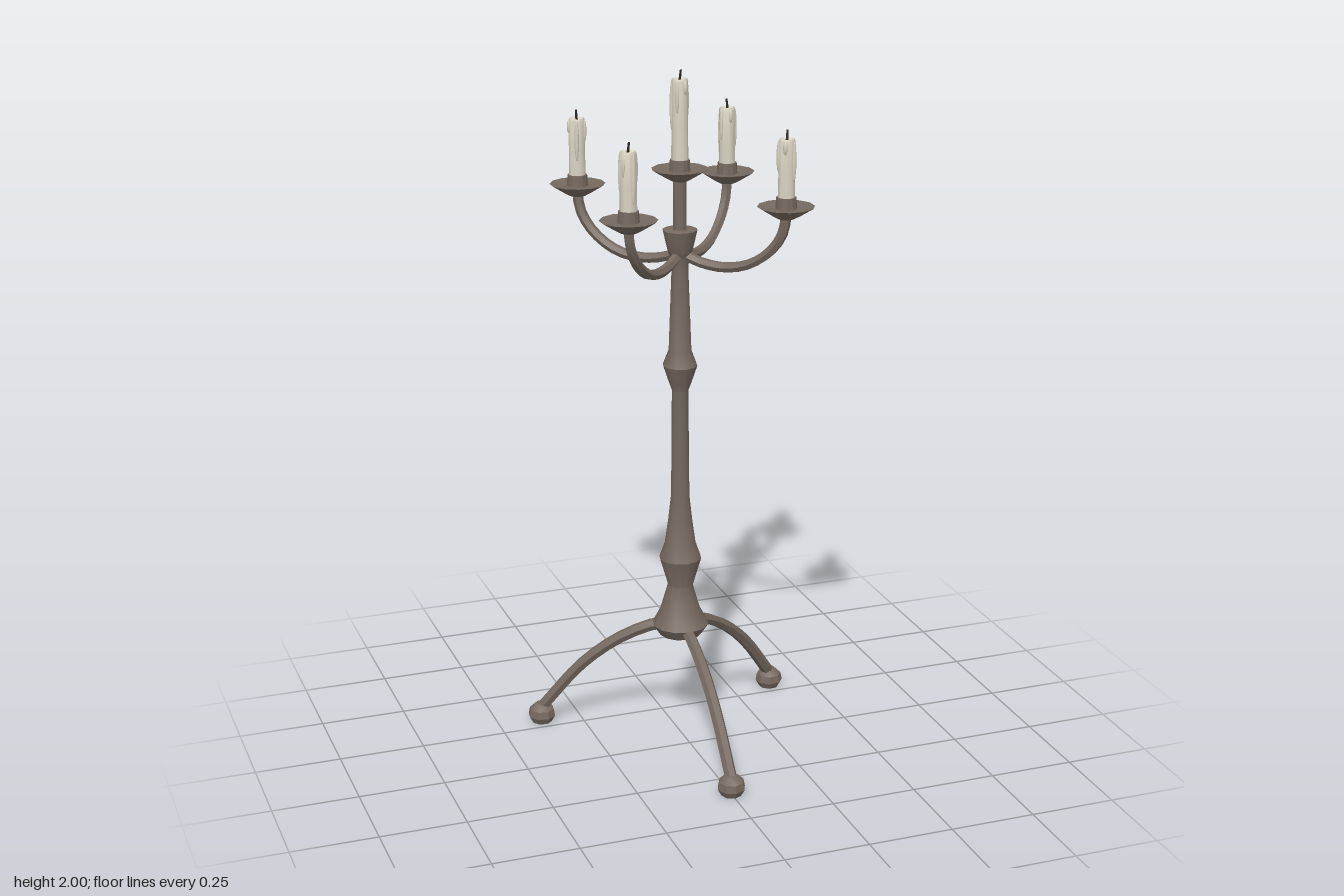
import * as THREE from 'three';
import { toCreasedNormals } from 'three/addons/utils/BufferGeometryUtils.js';

const material = (name, color) => {
  const m = new THREE.MeshStandardMaterial({ color });
  m.name = name;
  return m;
};

export function createModel() {
  const iron = material('iron', 0x75695f);
  const wax = material('wax', 0xd9d4c2);
  const char = material('charred wick', 0x2b2622);

  const model = new THREE.Group();
  model.name = 'candelabrum';
  const body = new THREE.Group();
  body.name = 'body';
  body.position.z = -0.081;
  model.add(body);

  const add = (parent, name, geometry, mat) => {
    const mesh = new THREE.Mesh(geometry, mat);
    mesh.name = name;
    parent.add(mesh);
    return mesh;
  };
  // Turned part from [radius, height] pairs, bottom to top
  const turned = (points, sides, crease = 0.6) => toCreasedNormals(
    new THREE.LatheGeometry(points.map(([r, y]) => new THREE.Vector2(r, y)), sides), crease);
  // Bent bar from [distance, height] pairs along +z
  const bar = (points, radius, sides, steps) => {
    const curve = new THREE.CatmullRomCurve3(points.map(([d, y]) => new THREE.Vector3(0, y, d)));
    return toCreasedNormals(new THREE.TubeGeometry(curve, steps, radius, sides), 0.5);
  };

  // Central column with its flared top
  add(body, 'column', turned([
    [0, 0.325], [0.062, 0.325], [0.083, 0.357], [0.06, 0.4], [0.037, 0.48],
    [0.062, 0.565], [0.046, 0.61], [0.036, 0.68], [0.027, 0.76], [0.024, 1.08],
    [0.035, 1.11], [0.05, 1.155], [0.033, 1.2], [0.024, 1.44], [0.027, 1.475],
    [0.034, 1.485], [0.05, 1.552], [0.038, 1.556], [0, 1.55],
  ], 12), iron);
  add(body, 'upperStem', turned([[0.02, 1.54], [0.02, 1.7]], 8, 0.9), iron);

  // Three bowed legs on faceted feet
  const legShape = bar([[0.04, 0.355], [0.09, 0.342], [0.19, 0.29], [0.3, 0.2], [0.43, 0.042]], 0.018, 6, 10);
  const footShape = turned([
    [0, 0.002], [0.03, 0], [0.041, 0.02], [0.037, 0.042], [0.02, 0.058], [0, 0.062],
  ], 8);
  for (let i = 0; i < 3; i++) {
    const leg = new THREE.Group();
    leg.name = 'leg' + (i + 1);
    leg.rotation.y = i * Math.PI * 2 / 3;
    add(leg, 'legBar', legShape, iron);
    add(leg, 'foot', footShape, iron).position.z = 0.427;
    body.add(leg);
  }

  // Drip dish with a candle; origin at the dish rim
  const dishShape = turned([
    [0, -0.034], [0.024, -0.034], [0.045, -0.022], [0.08, 0], [0.03, -0.006],
    [0.028, 0.026], [0.022, 0.026], [0.022, 0.01],
  ], 12, 0.45);
  const dripShape = new THREE.SphereGeometry(1, 6, 5);
  const candle = (name, height, seed) => {
    const group = new THREE.Group();
    group.name = name;
    add(group, 'dish', dishShape, iron);
    add(group, 'candle', turned([
      [0.024, 0.005], [0.023, height * 0.5], [0.0235, height - 0.006],
      [0.021, height], [0.017, height - 0.004], [0, height - 0.01],
    ], 10, 0.7), wax);
    // Uneven runs of melted wax
    for (let i = 0; i < 5; i++) {
      const angle = seed + i * 1.31;
      const length = 0.02 + 0.013 * ((i * 3 + Math.floor(seed)) % 5);
      const drip = add(group, 'waxDrip', dripShape, wax);
      drip.position.set(Math.sin(angle) * 0.022, height - 0.003 - length, Math.cos(angle) * 0.022);
      drip.scale.set(0.0065, length, 0.0065);
    }
    const wick = add(group, 'wick', new THREE.CylinderGeometry(0.003, 0.004, 0.036, 5), char);
    wick.position.set(0.001, height + 0.006, 0);
    wick.rotation.z = -0.12;
    return group;
  };
  const centre = candle('centreCandle', 0.252, 0.4);
  centre.position.y = 1.726;
  body.add(centre);

  // Four curved arms on the diagonals, each carrying a candle
  const reach = 0.321;
  const armShape = bar([
    [0.01, 1.485], [0.05, 1.468], [0.13, 1.458], [0.21, 1.475], [0.28, 1.525], [0.314, 1.58], [reach, 1.63],
  ], 0.015, 6, 14);
  for (let i = 0; i < 4; i++) {
    const arm = new THREE.Group();
    arm.name = 'arm' + (i + 1);
    arm.rotation.y = Math.PI / 4 + i * Math.PI / 2;
    add(arm, 'armBar', armShape, iron);
    const holder = candle('sideCandle', 0.188, 1 + i * 1.7);
    holder.position.set(0, 1.652, reach);
    arm.add(holder);
    body.add(arm);
  }
  return model;
}
